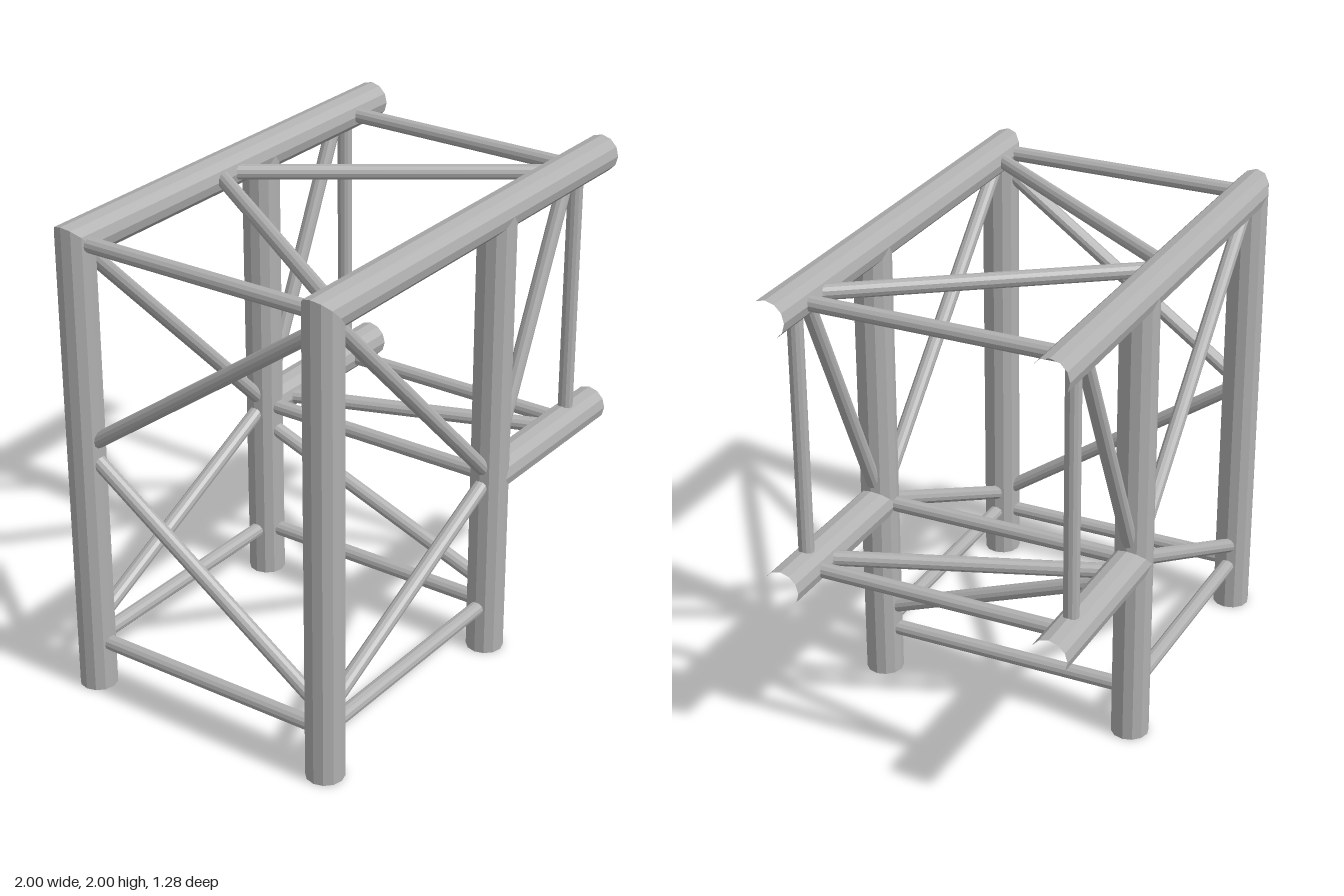
import * as THREE from 'three';

const R = 0.077, r = 0.031;           // main tube and brace radii
const XA = -0.923, XB = 0.21, XR = 0.8, XE = 1; // post, post, end rung, open end
const Z = 0.563, TOP = 1.923, MID = 0.795, LOW = 0.205;

export function createModel() {
  const group = new THREE.Group();
  const steel = new THREE.MeshStandardMaterial({ color: 0xb0b0b0, flatShading: true });
  steel.name = 'grey steel';

  // Open-ended round tube running from point a to point b
  function tube(name, a, b, radius, rule) {
    const A = new THREE.Vector3(...a), B = new THREE.Vector3(...b);
    const dir = B.clone().sub(A);
    const geo = new THREE.CylinderGeometry(radius, radius, dir.length(), 12, 1, true);
    geo.applyQuaternion(new THREE.Quaternion().setFromUnitVectors(
      new THREE.Vector3(0, 1, 0), dir.normalize()));
    const c = A.add(B).multiplyScalar(0.5);
    geo.translate(c.x, c.y, c.z);
    if (rule) {
      const p = geo.attributes.position;
      for (let i = 0; i < p.count; i++) rule(p, i);
      geo.computeVertexNormals();
    }
    const mesh = new THREE.Mesh(geo, steel);
    mesh.name = name;
    group.add(mesh);
  }
  const brace = (name, a, b) => tube(name, a, b, r);

  // Two matching side frames
  for (const [side, z] of [['front', Z], ['back', -Z]]) {
    // Outer post and top chord share a 45 degree mitre
    tube(side + 'OuterPost', [XA, 0, z], [XA, TOP, z], R, (p, i) => {
      if (p.getY(i) > 1) p.setY(i, TOP - (p.getX(i) - XA));
    });
    tube(side + 'TopChord', [XA, TOP, z], [XE, TOP, z], R, (p, i) => {
      if (p.getX(i) < 0) p.setX(i, XA - (p.getY(i) - TOP));
    });
    tube(side + 'InnerPost', [XB, 0, z], [XB, TOP, z], R);
    tube(side + 'LowerChord', [XB, MID, z], [XE, MID, z], R);

    brace(side + 'UpperDiagonal', [XA, TOP, z], [XB, MID, z]);
    brace(side + 'LowerDiagonal', [XA, 0.275, z], [XB, 0.8, z]);
    brace(side + 'BottomRail', [XA, LOW, z], [XB, LOW, z]);
    brace(side + 'ArmDiagonal', [XB, MID, z], [0.733, TOP, z]);
    brace(side + 'ArmUpright', [XR, MID, z], [XR, TOP, z]);
  }

  // Straight rungs joining the two frames
  for (const [x, y] of [[XA, TOP], [XA, LOW], [XB, LOW], [XB, MID], [XR, TOP], [XR, MID]])
    brace('crossRung', [x, y, -Z], [x, y, Z]);

  // Zigzag bracing of the outer end, inner end, top and arm underside
  brace('outerEndDiagonal', [XA, 1.867, Z], [XA, 1.068, -Z]);
  brace('outerEndDiagonal', [XA, 0.285, Z], [XA, 1.06, -Z]);
  brace('innerEndDiagonal', [XB, 0.29, Z], [XB, 0.71, -Z]);
  brace('topDiagonal', [-0.86, TOP, Z], [-0.07, TOP, -Z]);
  brace('topDiagonal', [-0.06, TOP, -Z], [0.735, TOP, Z]);
  brace('armDiagonal', [0.31, MID, -Z], [0.725, MID, Z]);

  return group;
}
